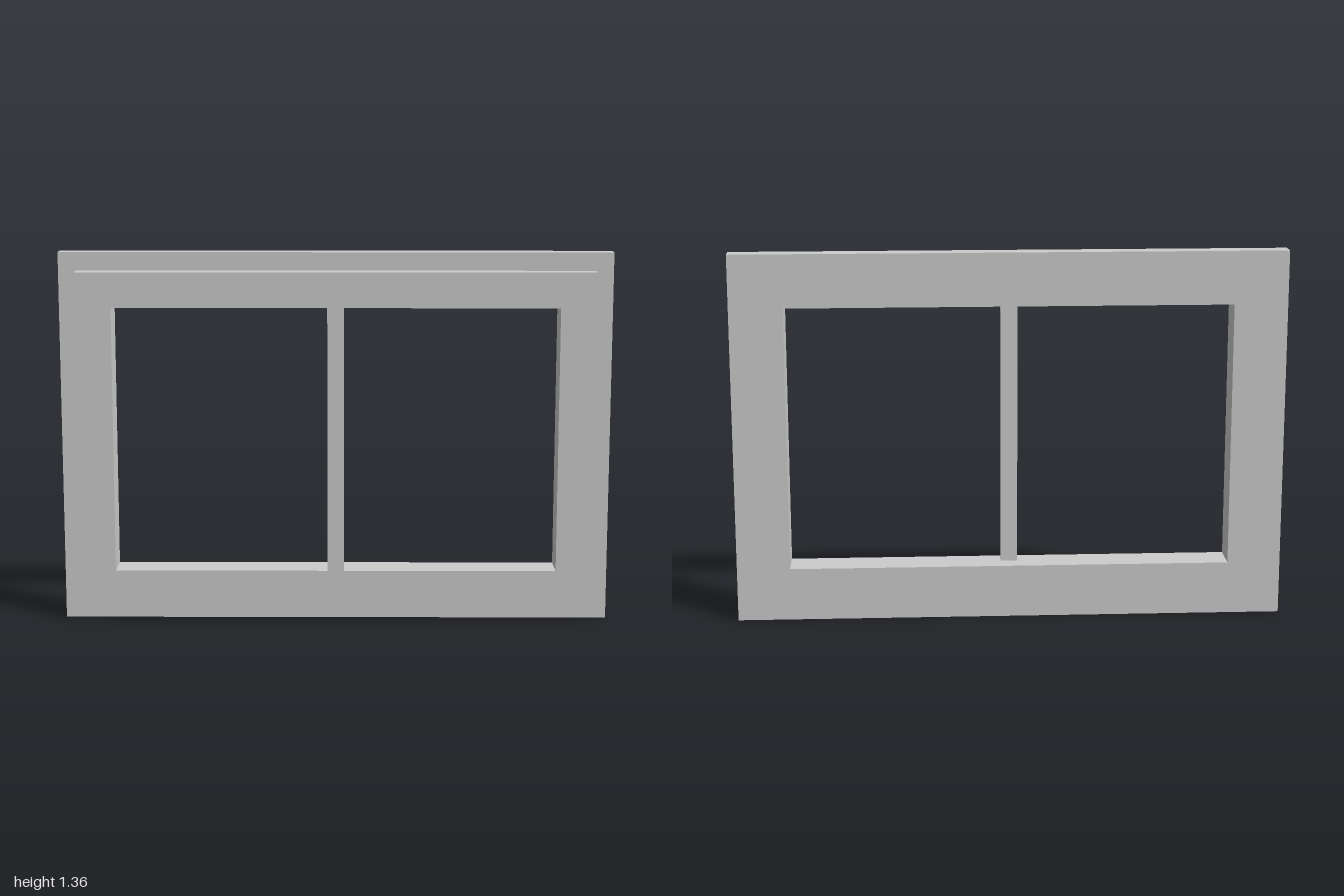
import * as THREE from 'three';

const WIDTH = 2, HEIGHT = 1.356, DEPTH = 0.064;
const STEP = 0.066; // inset of the front layer
const BORDER = 0.194; // edge of the opening
const MULLION = 0.03; // half width of the centre bar

// Trace a rectangle inset from the outer edge, between two x positions
function trace(path, x0, x1, inset) {
  path.moveTo(x0, inset);
  path.lineTo(x1, inset);
  path.lineTo(x1, HEIGHT - inset);
  path.lineTo(x0, HEIGHT - inset);
  path.closePath();
  return path;
}

// Flat layer with rectangular openings given as [x0, x1]
function layer(name, inset, openings, z, material) {
  const half = WIDTH / 2 - inset;
  const shape = trace(new THREE.Shape(), -half, half, inset);
  for (const [x0, x1] of openings) shape.holes.push(trace(new THREE.Path(), x0, x1, BORDER));
  const geometry = new THREE.ExtrudeGeometry(shape, { depth: DEPTH, bevelEnabled: false });
  const mesh = new THREE.Mesh(geometry, material);
  mesh.name = name;
  mesh.position.z = z;
  return mesh;
}

export function createModel() {
  const group = new THREE.Group();
  group.name = 'windowFrame';
  const material = new THREE.MeshStandardMaterial({ color: 0xcccccc });
  const edge = WIDTH / 2 - BORDER;

  // Wide back flange with one opening
  group.add(layer('backFlange', 0, [[-edge, edge]], -DEPTH, material));
  // Smaller front frame, split by the centre mullion
  group.add(layer('frontFrameWithMullion', STEP, [[-edge, -MULLION], [MULLION, edge]], 0, material));
  return group;
}
